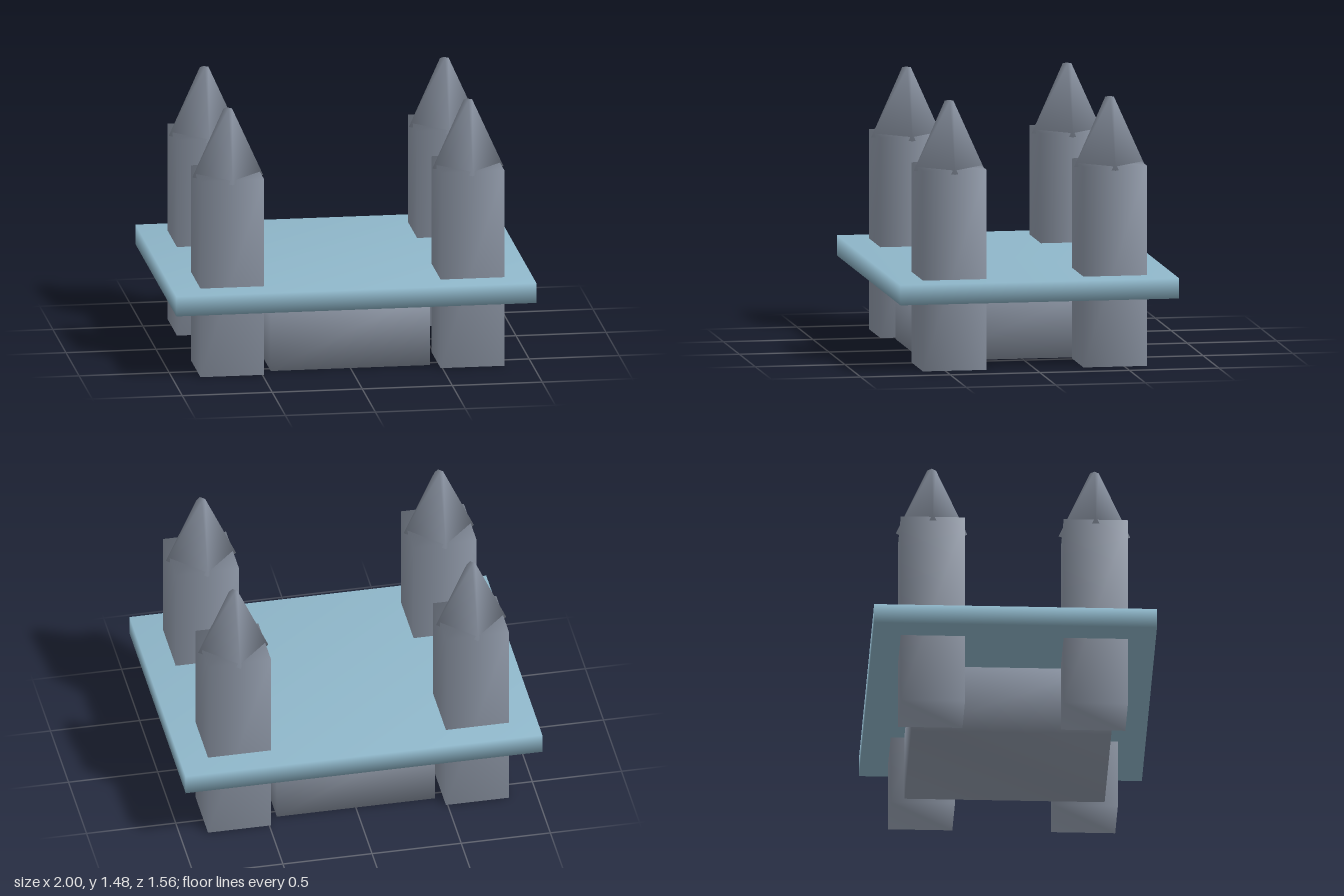
import * as THREE from 'three';
import { mergeVertices } from 'three/addons/utils/BufferGeometryUtils.js';

const stone = new THREE.MeshStandardMaterial({ color: 0x8b94a3 });
stone.name = 'grey stone';
const paleBlue = new THREE.MeshStandardMaterial({ color: 0x8fb7ca });
paleBlue.name = 'pale blue';

// Eight-cornered block with shared, smoothed normals; taper scales its top face
function softBlock(w, h, d, y, taper = 1) {
  const geo = new THREE.BoxGeometry(w, h, d);
  const p = geo.attributes.position;
  for (let i = 0; i < p.count; i++) {
    if (p.getY(i) > 0) {
      p.setX(i, p.getX(i) * taper);
      p.setZ(i, p.getZ(i) * taper);
    }
  }
  geo.translate(0, y + h / 2, 0);
  geo.deleteAttribute('uv');
  geo.deleteAttribute('normal');
  const merged = mergeVertices(geo);
  merged.computeVertexNormals();
  return merged;
}

function part(name, geo, material) {
  const mesh = new THREE.Mesh(geo, material);
  mesh.name = name;
  return mesh;
}

export function createModel() {
  const model = new THREE.Group();
  model.name = 'fourTowerPlatform';

  // Central base and the wide deck it carries
  model.add(part('baseBlock', softBlock(0.886, 0.42, 1.1, 0), stone));
  model.add(part('deck', softBlock(2, 0.112, 1.556, 0.392), paleBlue));

  // Square towers running through the deck, each with a roof turned by 45 degrees
  const shaft = softBlock(0.354, 1.112, 0.354, 0);
  const eave = 0.197, tip = 0.024;
  const roof = softBlock(eave * Math.SQRT2, 0.385, eave * Math.SQRT2, 1.09, tip / eave);
  for (const sx of [-1, 1]) {
    for (const sz of [-1, 1]) {
      const tower = new THREE.Group();
      tower.name = (sz > 0 ? 'front' : 'back') + (sx > 0 ? 'Left' : 'Right') + 'Tower';
      tower.position.set(sx * 0.667, 0, sz * 0.448);
      const cap = part('towerRoof', roof, stone);
      cap.rotation.y = Math.PI / 4;
      tower.add(part('towerShaft', shaft, stone), cap);
      model.add(tower);
    }
  }
  return model;
}
